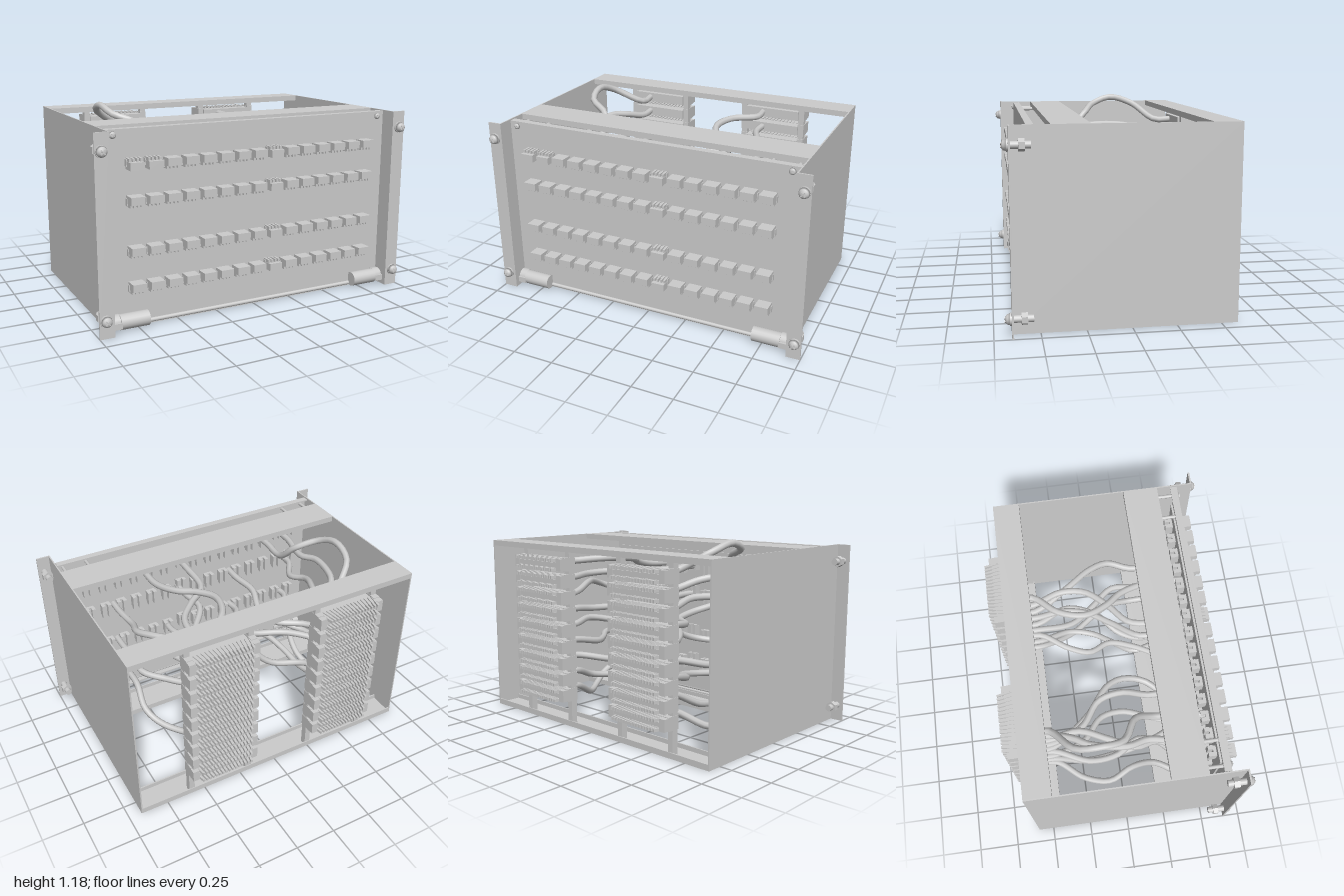
import * as THREE from 'three';
import { mergeGeometries } from 'three/addons/utils/BufferGeometryUtils.js';

const mat = new THREE.MeshStandardMaterial({ color: 0xcccccc });
const flat = new THREE.MeshStandardMaterial({ color: 0xcccccc, flatShading: true });

// Box given by its min and max on each axis
function box(x0, x1, y0, y1, z0, z1) {
  return new THREE.BoxGeometry(x1 - x0, y1 - y0, z1 - z0)
    .translate((x0 + x1) / 2, (y0 + y1) / 2, (z0 + z1) / 2);
}

// Cylinder along z
function rodZ(r, x, y, z0, z1, sides = 16) {
  return new THREE.CylinderGeometry(r, r, z1 - z0, sides).rotateX(Math.PI / 2).translate(x, y, (z0 + z1) / 2);
}

// Cylinder along x
function rodX(r, x0, x1, y, z, sides = 20) {
  return new THREE.CylinderGeometry(r, r, x1 - x0, sides).rotateZ(Math.PI / 2).translate((x0 + x1) / 2, y, z);
}

// Domed screw head facing +z with a cross on it
function screwHead(r, h, x, y, z) {
  const pts = [[0, h], [r * 0.5, h * 0.93], [r * 0.85, h * 0.6], [r, 0], [0, 0]].reverse().map(p => new THREE.Vector2(...p));
  const dome = new THREE.LatheGeometry(pts, 18).rotateX(Math.PI / 2).translate(x, y, z);
  const bars = [0, 1].map(i => new THREE.BoxGeometry(r * 1.1, r * 0.22, 0.004)
    .rotateZ(Math.PI / 4 + i * Math.PI / 2).translate(x, y, z + h));
  return [dome, ...bars];
}

function add(parent, name, parts, material = mat) {
  const mesh = new THREE.Mesh(mergeGeometries(parts), material);
  mesh.name = name;
  parent.add(mesh);
  return mesh;
}

// Front plug: a hood with a row of small latches on one side
function frontPlug(x, y, flip) {
  const s = flip ? -1 : 1;
  const yb = (a, b) => [Math.min(y + s * a, y + s * b), Math.max(y + s * a, y + s * b)];
  const parts = [
    box(x - 0.04, x + 0.04, ...yb(-0.018, 0.026), 0.56, 0.635),
    box(x - 0.044, x + 0.044, ...yb(-0.03, 0.01), 0.56, 0.58),
    box(x - 0.03, x + 0.03, ...yb(-0.05, 0.03), 0.5, 0.52),
  ];
  for (const dx of [-0.032, -0.012, 0.012, 0.032])
    parts.push(box(x + dx - 0.006, x + dx + 0.006, ...yb(-0.036, -0.016), 0.56, 0.612));
  // solder tails behind the board
  for (const dx of [-0.02, 0.02])
    parts.push(box(x + dx - 0.012, x + dx + 0.012, ...yb(-0.06, 0.03), 0.47, 0.5));
  return parts;
}

// One row of the rear terminal block
function terminalRow(cx, y) {
  const parts = [
    box(cx - 0.18, cx + 0.18, y - 0.03, y + 0.03, -0.645, -0.53),
    box(cx - 0.215, cx + 0.215, y - 0.012, y + 0.012, -0.655, -0.59),
  ];
  for (const s of [-1, 1]) {
    const ex = cx + s * 0.197;
    parts.push(box(ex - 0.02, ex + 0.02, y - 0.04, y + 0.04, -0.625, -0.545));
    parts.push(box(ex - 0.02, ex + 0.02, y - 0.036, y + 0.036, -0.66, -0.625));
    for (let i = 0; i < 16; i++) {
      const tx = cx - 0.172 + i * 0.0229;
      const lean = new THREE.BoxGeometry(0.012, 0.018, 0.1).rotateY(0.2 * (i - 7.5) / 7.5);
      parts.push(lean.translate(tx, y + s * 0.028, -0.64));
    }
  }
  return parts;
}

export function createModel() {
  const model = new THREE.Group();
  model.name = 'rackUnit';

  // Side plates with mounting ears
  for (const s of [-1, 1]) {
    const side = s < 0 ? 'right' : 'left';
    const span = (a, b) => s > 0 ? [a, b] : [-b, -a];
    add(model, side + 'SidePlate', [box(...span(0.914, 0.922), 0.008, 1.125, -0.595, 0.655)]);
    add(model, side + 'MountingEar', [box(...span(0.914, 1), 0.008, 1.125, 0.645, 0.655)]);

    // Ear bolts with washer and nut
    for (const y of [0.108, 1.026]) {
      const x = s * 0.962;
      add(model, 'earBolt', [
        rodZ(0.02, x, y, 0.538, 0.66), rodZ(0.034, x, y, 0.655, 0.664, 20), ...screwHead(0.031, 0.026, x, y, 0.664),
      ]);
      add(model, 'earNut', [rodZ(0.034, x, y, 0.57, 0.603, 6)], flat);
    }

    // Panel screws and pull handles
    add(model, 'panelScrew', screwHead(0.02, 0.014, s * 0.865, 1.09, 0.56));
    add(model, side + 'Handle', [
      rodX(0.044, ...span(0.695, 0.865), 0.06, 0.585), rodX(0.044, ...span(0.865, 0.912), 0.06, 0.575),
      box(...span(0.86, 0.912), 0.035, 0.07, 0.6, 0.63),
    ]);
  }

  // Cross rails: lipped channels, top and bottom, rear and front
  for (const [end, z0, z1] of [['rear', -0.595, -0.435], ['front', 0.222, 0.435]]) {
    for (const top of [true, false]) {
      const yb = (a, b) => top ? [1.125 - b, 1.125 - a] : [0.008 + a, 0.008 + b];
      add(model, end + (top ? 'Top' : 'Bottom') + 'Rail', [
        box(-0.915, 0.915, ...yb(0, 0.008), z0, z1),
        box(-0.915, 0.915, ...yb(0, 0.035), z0, z0 + 0.008),
        box(-0.915, 0.915, ...yb(0, 0.035), z1 - 0.008, z1),
      ]);
    }
  }

  // Front panel with folded top edge, hinge rod and circuit board
  add(model, 'frontPanel', [
    box(-0.91, 0.91, 0.035, 1.12, 0.548, 0.56), box(-0.91, 0.91, 1.112, 1.12, 0.518, 0.56),
    box(-0.91, 0.91, 0.012, 0.022, 0.518, 0.56),
  ]);
  add(model, 'hingeRod', [rodX(0.012, -0.91, 0.91, 0.03, 0.56)]);
  add(model, 'circuitBoard', [box(-0.84, 0.84, 0.16, 1.03, 0.518, 0.53)]);
  for (const x of [-0.87, -0.72, 0.72, 0.87])
    for (const y of [0.05, 1.085]) add(model, 'standoff', [rodZ(0.011, x, y, 0.42, 0.55, 8)]);

  // Four rows of front plugs
  [0.93, 0.735, 0.455, 0.25].forEach((y, row) => {
    const parts = [];
    for (let i = 0; i < 15; i++)
      parts.push(...frontPlug(-0.757 + i * 0.1077, y, i === 8 || (row === 0 && i < 2)));
    add(model, 'frontPlugRow', parts);
  });

  // Rear terminal blocks on upright posts
  const rowY = i => 1.018 - i * 0.1007;
  for (const cx of [-0.447, 0.387]) {
    const parts = [];
    for (let i = 0; i < 9; i++) parts.push(...terminalRow(cx, rowY(i)));
    add(model, 'terminalBlock', parts);
    add(model, 'blockPosts', [-1, 1].map(s =>
      box(cx + s * 0.197 - 0.018, cx + s * 0.197 + 0.018, 0.012, 1.12, -0.59, -0.55)));
  }

  // Cables: [x, z] bends from the terminal row to the board, end height, sag at mid-run
  const leftRuns = [
    [[[-0.67, -0.28], [-0.69, -0.13], [-0.66, 0], [-0.53, 0.08], [-0.5, 0.2], [-0.52, 0.4]], 0.93, 0.17],
    [[[-0.57, -0.28], [-0.62, -0.2], [-0.66, 0.02], [-0.63, 0.15], [-0.68, 0.4]], 0.93, 0.06],
    [[[-0.5, -0.25], [-0.57, -0.08], [-0.63, 0.08], [-0.6, 0.22], [-0.7, 0.4]], 0.735, 0.05],
    [[[-0.43, -0.22], [-0.28, -0.1], [-0.25, 0.05], [-0.3, 0.22], [-0.28, 0.4]], 0.735, -0.04],
    [[[-0.35, -0.18], [-0.16, -0.03], [-0.11, 0.08], [-0.13, 0.22], [-0.28, 0.4]], 0.455, 0.03],
    [[[-0.6, -0.2], [-0.58, -0.02], [-0.5, 0.12], [-0.54, 0.25], [-0.68, 0.4]], 0.455, -0.05],
    [[[-0.44, -0.22], [-0.29, -0.09], [-0.26, 0.06], [-0.32, 0.24], [-0.36, 0.4]], 0.25, -0.04],
    [[[-0.54, -0.22], [-0.52, -0.05], [-0.5, 0.1], [-0.46, 0.25], [-0.4, 0.4]], 0.25, -0.1],
    [[[-0.63, -0.25], [-0.67, -0.08], [-0.61, 0.08], [-0.62, 0.22], [-0.72, 0.4]], 0.25, -0.14],
  ];
  const rightRuns = [
    [[[0.2, -0.28], [0.16, -0.12], [0.22, 0.02], [0.3, 0.12], [0.36, 0.3]], 0.93, 0.03],
    [[[0.38, -0.25], [0.36, -0.1], [0.25, 0.03], [0.12, 0.15], [0.1, 0.4]], 0.93, 0.0],
    [[[0.44, -0.2], [0.55, -0.05], [0.6, 0.07], [0.57, 0.22], [0.58, 0.4]], 0.735, 0.05],
    [[[0.35, -0.25], [0.32, -0.1], [0.22, 0.05], [0.1, 0.22], [0.12, 0.4]], 0.735, -0.03],
    [[[0.4, -0.22], [0.34, -0.03], [0.22, 0.1], [0.18, 0.24], [0.22, 0.4]], 0.455, 0.03],
    [[[0.35, -0.2], [0.46, -0.05], [0.58, 0.1], [0.57, 0.24], [0.58, 0.4]], 0.455, -0.04],
    [[[0.22, -0.25], [0.18, -0.1], [0.24, 0.04], [0.2, 0.2], [0.12, 0.4]], 0.25, -0.03],
    [[[0.39, -0.22], [0.36, -0.06], [0.28, 0.06], [0.18, 0.2], [0.23, 0.4]], 0.25, -0.08],
    [[[0.43, -0.2], [0.54, -0.04], [0.59, 0.08], [0.57, 0.24], [0.57, 0.4]], 0.25, -0.12],
  ];
  [[leftRuns, -0.52], [rightRuns, 0.32]].forEach(([runs, x0]) => runs.forEach(([bends, yEnd, sag], i) => {
    const y0 = rowY(i);
    const pts = [new THREE.Vector3(x0, y0, -0.54), new THREE.Vector3(x0, y0, -0.42)];
    bends.forEach(([x, z], k) => {
      const t = (z + 0.42) / 0.93;
      const arch = Math.sin(Math.PI * Math.min(1, t * 1.5));
      const y = y0 + (yEnd - y0) * t * t * (3 - 2 * t) + sag * arch;
      pts.push(new THREE.Vector3(x, Math.max(y, 0.03), z));
    });
    const [lx] = bends[bends.length - 1];
    pts.push(new THREE.Vector3(lx, yEnd, 0.52));
    add(model, 'cable', [new THREE.TubeGeometry(new THREE.CatmullRomCurve3(pts), 30, 0.021, 8)]);
  }));

  return model;
}
